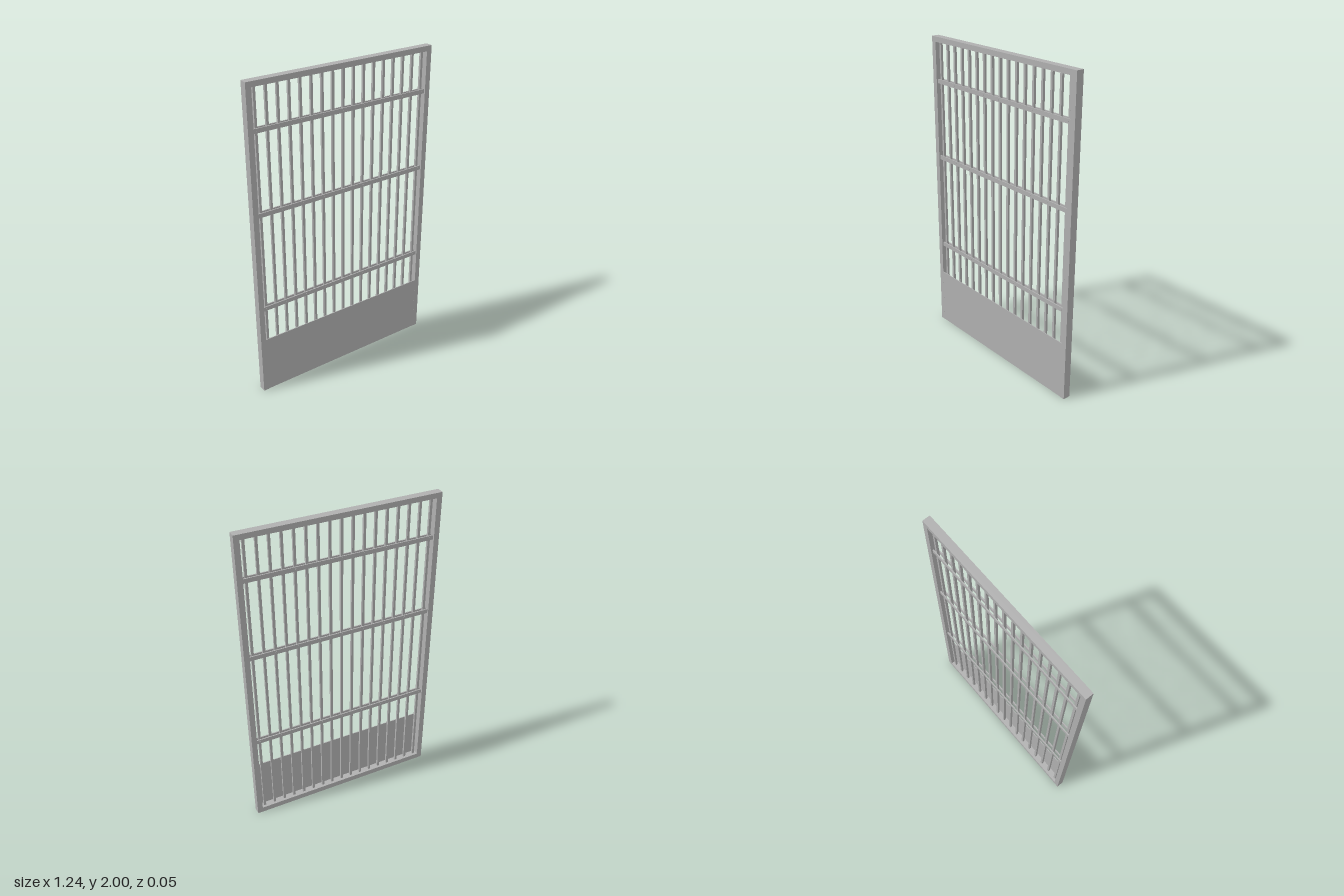
import * as THREE from 'three';

export function createModel() {
  const gate = new THREE.Group();
  gate.name = 'barredGate';
  const steel = new THREE.MeshStandardMaterial({ color: 0xb0b0b0 });
  steel.name = 'grey steel';

  const add = (name, geometry, x, y, z) => {
    const mesh = new THREE.Mesh(geometry, steel);
    mesh.name = name;
    mesh.position.set(x, y, z);
    gate.add(mesh);
    return mesh;
  };
  const box = (name, w, h, d, x, y, z) => add(name, new THREE.BoxGeometry(w, h, d), x, y, z);

  const halfWidth = 0.62, stile = 0.034, depth = 0.048;
  const inner = 2 * (halfWidth - stile);

  // Outer frame
  for (const side of [-1, 1]) {
    box(side > 0 ? 'leftStile' : 'rightStile', stile, 2, depth, side * (halfWidth - stile / 2), 1, 0);
  }
  box('topRail', inner, 0.032, depth, 0, 1.984, 0);
  box('bottomRail', inner, 0.036, depth - 0.002, 0, 0.018, -0.001);

  // Kick plate on the front
  box('kickPlate', inner, 0.377, 0.005, 0, 0.1915, 0.0213);

  // Vertical bars running between the rails
  const barCount = 17, spacing = 0.0703, barSize = 0.015;
  const barX = (i) => (i - (barCount - 1) / 2) * spacing;
  for (let i = 0; i < barCount; i++) {
    box('verticalBar', barSize, 1.934, barSize, barX(i), 1.001, 0);
  }

  // Pairs of flat straps clamping the bars, with a rivet at every second bar
  const rivet = new THREE.CylinderGeometry(0.0045, 0.0045, 0.002, 10).rotateX(Math.PI / 2);
  for (const y of [0.595, 1.221, 1.723]) {
    for (const face of [-1, 1]) {
      box(face > 0 ? 'frontStrap' : 'backStrap', inner, 0.027, 0.007, 0, y, face * 0.011);
      for (let i = 0; i < barCount; i += 2) add('rivet', rivet, barX(i), y, face * 0.015);
    }
  }
  return gate;
}
